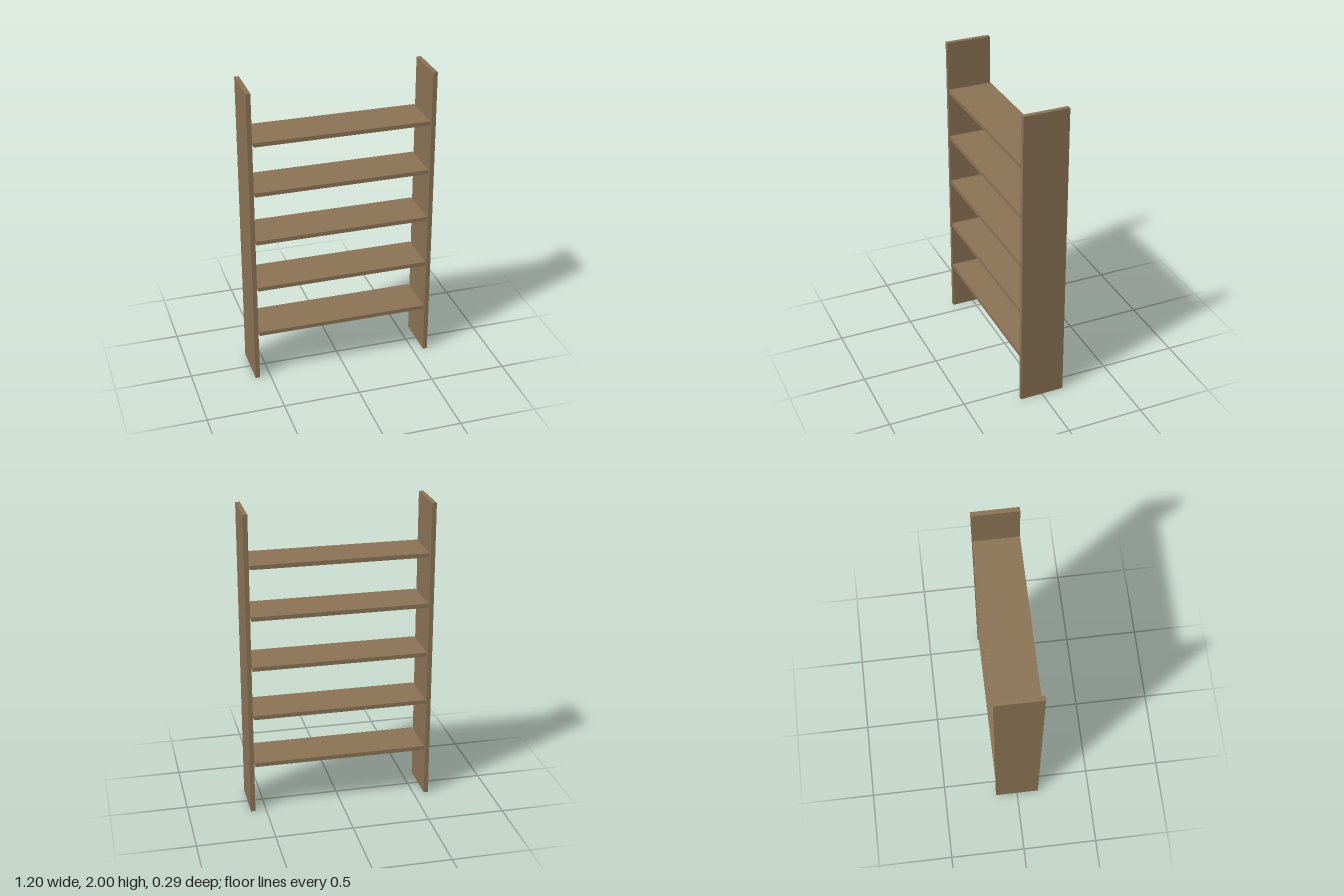
import * as THREE from 'three';

export function createModel() {
  const HEIGHT = 2, DEPTH = 0.293, BOARD = 0.029, OUTER = 0.6;
  const SHELF_WIDTH = 1.128, SHELF_THICKNESS = 0.027, SHELVES = 5;

  const wood = new THREE.MeshStandardMaterial({ color: 0x8b7355 });
  const model = new THREE.Group();
  model.name = 'openShelf';

  const addBoard = (name, width, height, x, y) => {
    const board = new THREE.Mesh(new THREE.BoxGeometry(width, height, DEPTH), wood);
    board.name = name;
    board.position.set(x, y, 0);
    model.add(board);
  };

  // Upright side panels
  for (const side of [1, -1]) {
    addBoard(side > 0 ? 'leftPanel' : 'rightPanel', BOARD, HEIGHT, side * (OUTER - BOARD / 2), HEIGHT / 2);
  }

  // Evenly spaced shelves, with a narrow gap at each panel
  for (let i = 1; i <= SHELVES; i++) {
    addBoard(`shelf${i}`, SHELF_WIDTH, SHELF_THICKNESS, 0, (HEIGHT * i) / (SHELVES + 1));
  }

  return model;
}
